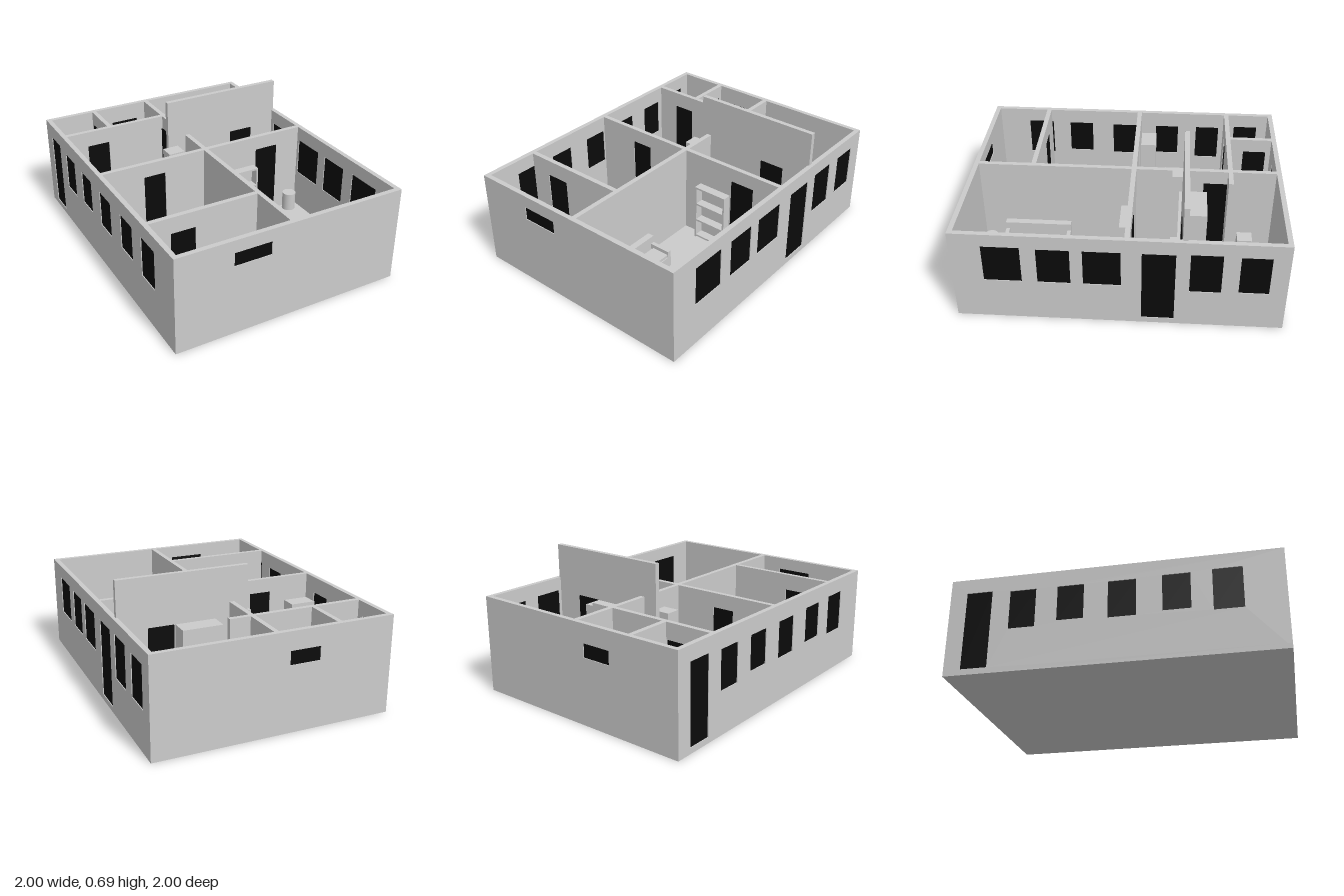
import * as THREE from 'three';

const T = 0.025; // wall thickness
const L = 1.605, W = 1.223, H = 0.505;
const grey = new THREE.MeshStandardMaterial({ color: 0xcccccc, flatShading: true });
const smooth = new THREE.MeshStandardMaterial({ color: 0xcccccc });
const black = new THREE.MeshStandardMaterial({ color: 0x0a0a0a });

function add(parent, name, geometry, material = grey) {
  const mesh = new THREE.Mesh(geometry, material);
  mesh.name = name;
  parent.add(mesh);
  return mesh;
}

// Box given by its limits along each axis
function box(parent, name, x0, x1, y0, y1, z0, z1, material = grey) {
  const m = add(parent, name, new THREE.BoxGeometry(x1 - x0, y1 - y0, z1 - z0), material);
  m.position.set((x0 + x1) / 2, (y0 + y1) / 2, (z0 + z1) / 2);
  return m;
}

// Upright wall with cut openings, each filled by a dark panel: [from, to, bottom, top, panel thickness]
function wall(parent, name, axis, at, from, to, height, openings = []) {
  const g = new THREE.Group();
  g.name = name;
  const rect = (P, a, b, c, d) => {
    const p = new P();
    p.moveTo(a, c);
    p.lineTo(b, c);
    p.lineTo(b, d);
    p.lineTo(a, d);
    p.closePath();
    return p;
  };
  const shape = rect(THREE.Shape, from, to, 0, height);
  for (const [a, b, c, d, t = 0.017] of openings) {
    shape.holes.push(rect(THREE.Path, a, b, c, d));
    box(g, c < 0.1 ? 'doorPanel' : 'windowPane', a, b, c, d, -t / 2, t / 2, black);
  }
  const geo = new THREE.ExtrudeGeometry(shape, { depth: T, bevelEnabled: false });
  add(g, 'wallPanel', geo.translate(0, 0, -T / 2));
  if (axis === 'x') g.position.z = at;
  else {
    g.rotation.y = -Math.PI / 2;
    g.position.x = at;
  }
  parent.add(g);
}

// Chair with four legs, seat, back and optional arms
function chair(parent, name, x, z, angle, s, arms) {
  const g = new THREE.Group();
  g.name = name;
  const h = s / 2, y = 0.08;
  for (const i of [-1, 1]) {
    for (const j of [-1, 1]) {
      const px = i * (h - 0.006), pz = j * (h - 0.006);
      box(g, 'leg', px - 0.005, px + 0.005, T, y, pz - 0.005, pz + 0.005);
    }
    if (arms) box(g, 'armrest', i * h - 0.008, i * h + 0.008, 0.11, 0.12, -h, h);
  }
  box(g, 'seat', -h, h, y, y + 0.015, -h, h);
  box(g, 'backrest', -h, h, y, 0.18, -h, -h + 0.012);
  g.position.set(x, 0, z);
  g.rotation.y = angle;
  parent.add(g);
}

export function createModel() {
  const model = new THREE.Group();
  model.name = 'house';
  const plan = new THREE.Group();
  plan.name = 'floorPlan';
  plan.rotation.y = -Math.PI / 4;
  model.add(plan);

  box(plan, 'floor', -L / 2, L / 2, 0, T, -W / 2, W / 2);

  // Outer walls
  const ex = L / 2 - T / 2, ez = W / 2 - T / 2;
  wall(plan, 'entranceWall', 'x', ez, -L / 2, L / 2, H, [
    [-0.72, -0.59, 0.03, 0.43], [-0.50, -0.37, 0.22, 0.42], [-0.265, -0.135, 0.24, 0.42],
    [-0.02, 0.115, 0.23, 0.42], [0.237, 0.37, 0.24, 0.425], [0.47, 0.61, 0.22, 0.43],
  ]);
  wall(plan, 'gardenWall', 'x', -ez, -L / 2, L / 2, H, [
    [0.465, 0.65, 0.23, 0.435], [0.23, 0.39, 0.23, 0.43], [-0.012, 0.17, 0.23, 0.43],
    [-0.27, -0.11, 0.03, 0.43], [-0.49, -0.338, 0.21, 0.435], [-0.717, -0.572, 0.215, 0.43],
  ]);
  const inner = W / 2 - T;
  wall(plan, 'endWall', 'z', ex, -inner, inner, H, [[0.12, 0.315, 0.37, 0.44]]);
  wall(plan, 'endWall', 'z', -ex, -inner, inner, H, [[0.063, 0.22, 0.34, 0.41]]);

  // Inner walls; the tall one rises above the rest
  wall(plan, 'tallPartition', 'z', -0.31, -0.594, 0.088, 0.685, [[-0.44, -0.307, 0.03, 0.43, 0.036]]);
  wall(plan, 'crossPartition', 'z', -0.04, -inner, inner, H,
    [[-0.44, -0.311, 0.03, 0.43, 0.036], [0.24, 0.36, 0.03, 0.43]]);
  wall(plan, 'rearPartition', 'z', -0.54, -0.12, inner, H, [[0.345, 0.47, 0.03, 0.42]]);
  wall(plan, 'frontPartition', 'z', 0.49, 0, inner, H, [[0.345, 0.475, 0.03, 0.42]]);
  wall(plan, 'spinePartition', 'x', 0, -0.24, L / 2 - T, H);
  wall(plan, 'spinePartition', 'x', 0, -L / 2 + T, -0.31, H, [[-0.527, -0.405, 0.03, 0.43, 0.036]]);
  wall(plan, 'smallRoomPartition', 'x', 0.33, -L / 2 + T, -0.54, H, [[-0.75, -0.628, 0.03, 0.43, 0.036]]);

  // Sofa with its back to the spine wall
  const sofa = new THREE.Group();
  sofa.name = 'sofa';
  box(sofa, 'base', 0.3, 0.655, T, 0.085, -0.175, -0.03);
  box(sofa, 'backrest', 0.3, 0.655, 0.085, 0.16, -0.06, -0.025);
  for (const x of [0.3, 0.635]) box(sofa, 'armrest', x, x + 0.02, 0.085, 0.12, -0.175, -0.06);
  box(sofa, 'cushion', 0.32, 0.635, 0.085, 0.1, -0.17, -0.075);
  plan.add(sofa);

  // Coffee table
  const table = new THREE.Group();
  table.name = 'coffeeTable';
  box(table, 'tabletop', 0.4, 0.55, 0.085, 0.1, -0.34, -0.205);
  for (const x of [0.405, 0.535]) {
    for (const z of [-0.335, -0.22]) box(table, 'leg', x, x + 0.01, T, 0.085, z, z + 0.01);
  }
  plan.add(table);

  // Round side tables
  for (const [x, z] of [[0.01, -0.522], [0.725, -0.126]]) {
    const t = add(plan, 'roundTable', new THREE.CylinderGeometry(0.037, 0.037, 0.1, 24), smooth);
    t.position.set(x, T + 0.05, z);
  }

  chair(plan, 'armchair', 0.68, -0.33, Math.PI / 4, 0.1, true);
  chair(plan, 'diningChair', 0.28, 0.055, 0.3, 0.065, false);
  chair(plan, 'diningChair', 0.372, 0.06, -0.2, 0.065, false);

  // Bookshelf
  const shelf = new THREE.Group();
  shelf.name = 'bookshelf';
  for (const z of [-0.3, -0.12]) box(shelf, 'side', -0.028, 0.02, T, 0.34, z, z + 0.01);
  for (const y of [0.03, 0.13, 0.23, 0.33]) box(shelf, 'shelfBoard', -0.028, 0.02, y, y + 0.01, -0.29, -0.12);
  plan.add(shelf);

  // Bed
  box(plan, 'bedBase', -0.72, -0.45, T, 0.08, -0.5, -0.14);
  box(plan, 'mattress', -0.71, -0.46, 0.08, 0.11, -0.47, -0.15);

  // Cupboards, counters and fixtures: name, x range, height, z range
  for (const [name, x0, x1, h, z0, z1] of [
    ['wardrobe', -0.42, -0.325, 0.43, -0.3, -0.09],
    ['tallCabinet', -0.28, -0.2, 0.43, 0.04, 0.13],
    ['cornerCabinet', -0.14, -0.055, 0.37, 0.45, 0.59],
    ['windowBench', -0.52, -0.14, 0.13, 0.49, 0.595],
    ['counter', -0.525, -0.43, 0.17, 0.21, 0.3],
    ['counter', -0.43, -0.38, 0.17, 0.06, 0.14],
    ['lowCabinet', -0.14, -0.06, 0.17, 0.08, 0.14],
    ['lowCabinet', -0.025, 0.05, 0.17, 0.025, 0.09],
    ['basin', -0.66, -0.57, 0.16, 0.035, 0.11],
    ['nightstand', -0.68, -0.6, 0.12, -0.09, -0.015],
    ['desk', 0.505, 0.56, 0.16, 0.06, 0.17],
    ['desk', 0.505, 0.55, 0.16, 0.2, 0.3],
    ['stool', 0.33, 0.42, 0.12, 0.5, 0.58],
  ]) box(plan, name, x0, x1, T, h, z0, z1);

  return model;
}
